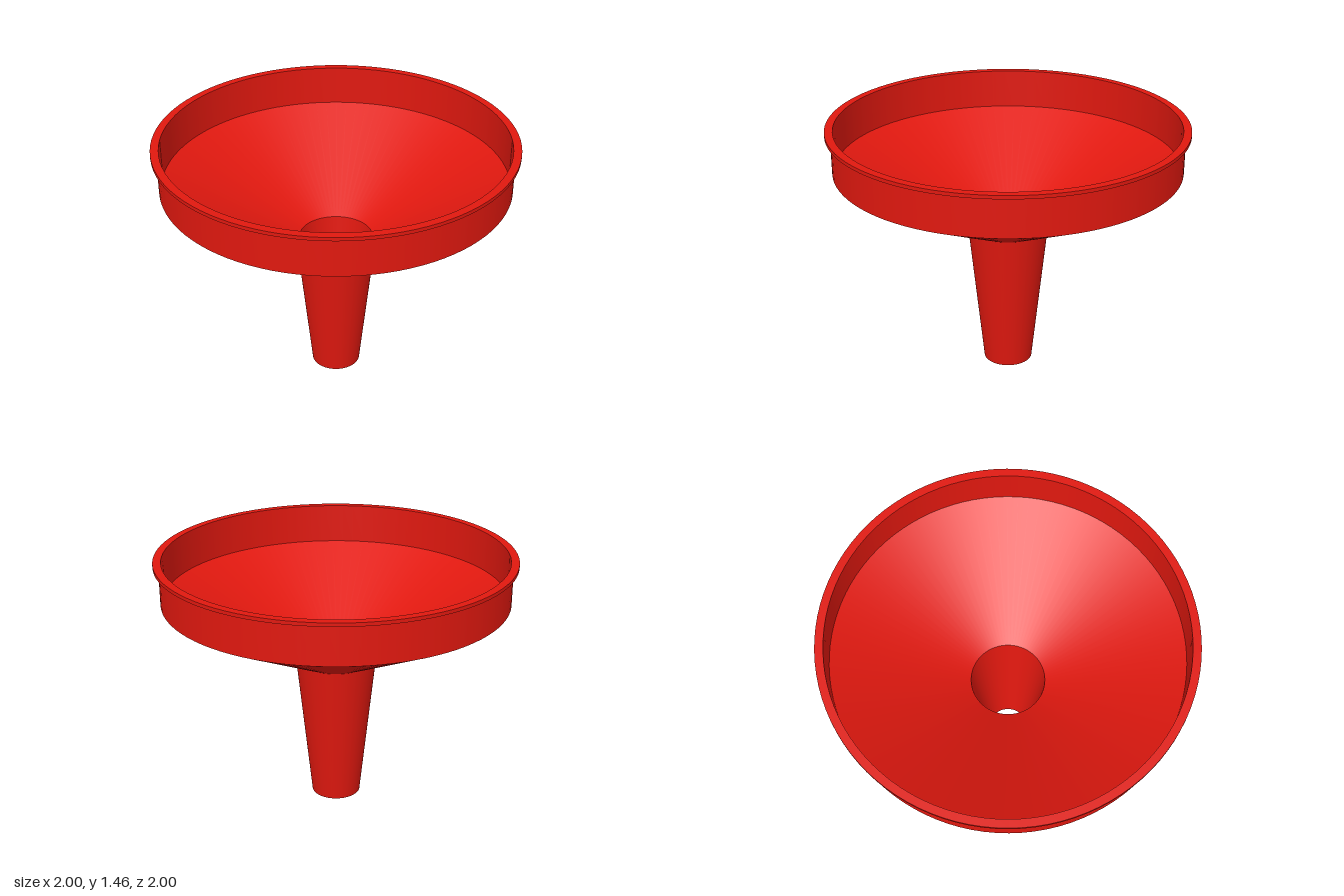
import * as THREE from 'three';
import { mergeGeometries } from 'three/addons/utils/BufferGeometryUtils.js';

const SEGMENTS = 96;
const red = new THREE.MeshStandardMaterial({ color: 0xe0180f });

// Each [radius, height] pair along a run becomes its own band, so edges stay sharp.
// Rising runs face outward, falling runs face inward.
function turnedPart(name, ...runs) {
  const bands = [];
  for (const run of runs) {
    for (let i = 0; i < run.length - 1; i++) {
      const ends = [run[i], run[i + 1]].map(([r, y]) => new THREE.Vector2(r, y));
      bands.push(new THREE.LatheGeometry(ends, SEGMENTS));
    }
  }
  const mesh = new THREE.Mesh(mergeGeometries(bands), red);
  mesh.name = name;
  return mesh;
}

export function createModel() {
  const funnel = new THREE.Group();
  funnel.name = 'funnel';

  // Corners of the hollow shell
  const tipIn = [0.115, 0], tipOut = [0.14, 0];
  const neckIn = [0.208, 0.853], neckOut = [0.228, 0.845];
  const shoulderIn = [0.955, 1.232], shoulderOut = [0.97, 1.22];
  const rimUnder = [0.97, 1.44], rimLow = [1, 1.44], rimTop = [1, 1.46], mouth = [0.955, 1.46];

  funnel.add(
    // Tapered tube with an open, flat-cut tip
    turnedPart('spout', [neckIn, tipIn, tipOut, neckOut]),
    // Sloping bowl
    turnedPart('cone', [neckOut, shoulderOut], [shoulderIn, neckIn]),
    // Upright wall above the bowl
    turnedPart('wall', [shoulderOut, rimUnder], [mouth, shoulderIn]),
    // Thin lip around the mouth
    turnedPart('rim', [rimUnder, rimLow, rimTop, mouth])
  );
  return funnel;
}
